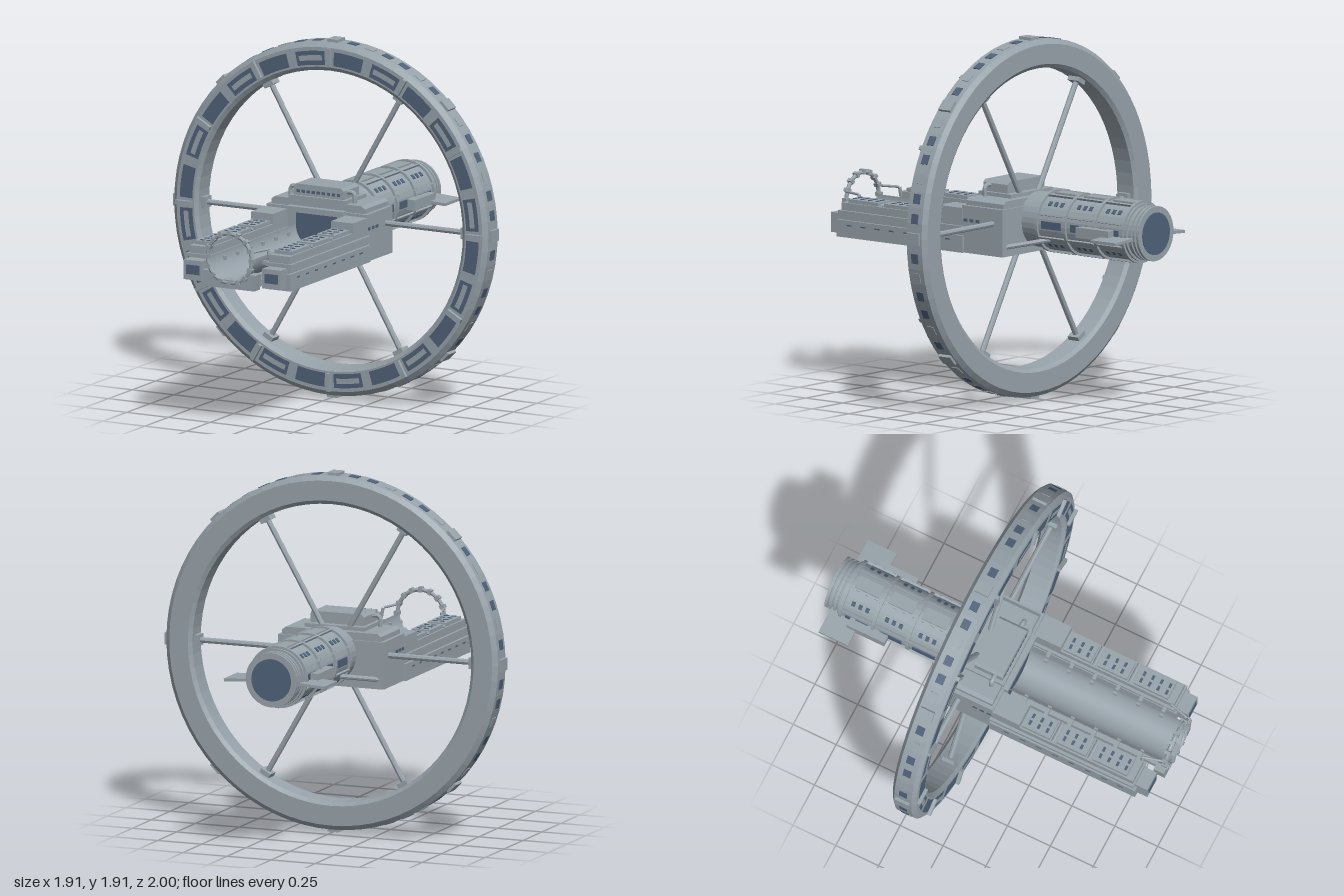
import * as THREE from 'three';

const hull = new THREE.MeshStandardMaterial({ color: 0x98a3ab, flatShading: true });
hull.name = 'hull grey';
const dark = new THREE.MeshStandardMaterial({ color: 0x50627a, flatShading: true });
dark.name = 'dark blue panel';
const trough = new THREE.MeshStandardMaterial({ color: 0x98a3ab, side: THREE.DoubleSide });
trough.name = 'trough grey';

const AXIS = 0.955; // height of the wheel and drum axis
const DEG = Math.PI / 180;

function add(parent, name, geometry, material = hull) {
  const mesh = new THREE.Mesh(geometry, material);
  mesh.name = name;
  parent.add(mesh);
  return mesh;
}

// Box given by its extents
function box(parent, name, x0, x1, y0, y1, z0, z1, material = hull) {
  const mesh = add(parent, name, new THREE.BoxGeometry(Math.abs(x1 - x0), y1 - y0, z1 - z0), material);
  mesh.position.set((x0 + x1) / 2, (y0 + y1) / 2, (z0 + z1) / 2);
  return mesh;
}

// Cylinder along z, from the back (z0) to the front (z1)
function drumPart(parent, name, r0, r1, z0, z1, y = AXIS, material = hull) {
  const g = new THREE.CylinderGeometry(r1, r0, z1 - z0, 32).rotateX(Math.PI / 2);
  const mesh = add(parent, name, g, material);
  mesh.position.set(0, y, (z0 + z1) / 2);
  return mesh;
}

// Straight rod between two points
function rod(parent, name, a, b, r) {
  const path = new THREE.LineCurve3(new THREE.Vector3(...a), new THREE.Vector3(...b));
  return add(parent, name, new THREE.TubeGeometry(path, 1, r, 8));
}

// Extruded outline with bevelled edges; outline drawn in x and y, depth along z
function prism(parent, name, points, z0, z1, material = hull) {
  const shape = new THREE.Shape(points.map(p => new THREE.Vector2(...p)));
  const mesh = add(parent, name, new THREE.ExtrudeGeometry(shape, { depth: z1 - z0, bevelEnabled: false }), material);
  mesh.position.z = z0;
  return mesh;
}

function buildWheel() {
  const wheel = new THREE.Group();
  wheel.name = 'wheel';
  wheel.position.set(0, AXIS, -0.14);
  const half = 0.07;
  const profile = [[0.79, -0.055], [0.81, -half], [0.915, -half], [0.94, -0.05], [0.94, 0.05],
    [0.915, half], [0.81, half], [0.79, 0.055], [0.79, -0.055]].map(p => new THREE.Vector2(...p));
  add(wheel, 'wheelRim', new THREE.LatheGeometry(profile, 72).rotateX(Math.PI / 2));

  // Front face panels, every second one with a light bar
  for (let i = 0; i < 24; i++) {
    const mid = (90 - 7.5 - i * 15) * DEG;
    const panel = add(wheel, 'rimPanel', new THREE.RingGeometry(0.82, 0.895, 6, 1, mid - 5.7 * DEG, 11.4 * DEG), dark);
    panel.position.z = half + 0.002;
    if (i % 2) {
      const bar = add(wheel, 'rimPanelBar', new THREE.RingGeometry(0.844, 0.872, 6, 1, mid - 4.6 * DEG, 9.2 * DEG));
      bar.position.z = half + 0.004;
    }
  }

  // Parts placed around the wheel, built along +x and turned
  const around = (name, deg) => {
    const g = new THREE.Group();
    g.name = name;
    g.rotation.z = deg * DEG;
    wheel.add(g);
    return g;
  };
  for (let i = 0; i < 12; i++) box(around('rimDivider', i * 30), 'dividerBar', 0.82, 0.915, -0.011, 0.011, 0.06, 0.088);
  for (let i = 0; i < 8; i++) box(around('rimPad', i * 45), 'pad', 0.93, 0.954, -0.032, 0.032, -0.04, 0.04);
  for (let i = 0; i < 56; i++) {
    if (i % 7 === 0) continue;
    const light = (i % 14) % 3 === 0;
    box(around('rimWindow', i * 360 / 56), light ? 'rimPlate' : 'window', 0.935, 0.943, -0.026, 0.026, -0.022, 0.022, light ? hull : dark);
  }
  for (let i = 0; i < 6; i++) {
    const g = around('spoke', i * 60);
    rod(g, 'spokeRod', [0.1, 0, 0], [0.8, 0, 0], 0.015);
    box(g, 'spokeFoot', 0.765, 0.8, -0.03, 0.03, -0.035, 0.035);
  }
  return wheel;
}

function buildDrum() {
  const drum = new THREE.Group();
  drum.name = 'rearDrum';
  drumPart(drum, 'drumNeck', 0.15, 0.145, -0.32, -0.2);
  drumPart(drum, 'drumBody', 0.152, 0.152, -0.92, -0.31);
  for (const z of [-0.32, -0.51, -0.71, -0.9]) drumPart(drum, 'drumRib', 0.165, 0.165, z - 0.008, z + 0.008);
  drumPart(drum, 'engineNeck', 0.128, 0.14, -0.99, -0.91);
  for (const z of [-0.94, -0.965, -0.99]) drumPart(drum, 'engineRing', 0.145, 0.145, z - 0.007, z + 0.007);
  drumPart(drum, 'engineDisc', 0.112, 0.112, -1, -0.98, AXIS, dark);

  // Panels and rails around the drum in each of three bays
  for (const z of [-0.415, -0.61, -0.805]) {
    for (let i = 0; i < 8; i++) {
      const g = new THREE.Group();
      g.name = 'drumPanels';
      g.position.set(0, AXIS, z);
      g.rotation.z = i * 45 * DEG;
      drum.add(g);
      if (i % 4 === 0) box(g, 'sideWindow', 0.148, 0.156, -0.02, 0.02, -0.065, 0.065, dark);
      else if (i % 2 === 0) box(g, 'drumPlate', 0.145, 0.157, -0.035, 0.035, -0.07, 0.07);
      else for (const s of [-0.04, 0, 0.04]) box(g, 'drumPort', 0.147, 0.156, -0.013, 0.013, s - 0.01, s + 0.01, dark);
      box(g, 'drumRail', 0.145, 0.157, 0.05, 0.06, -0.085, 0.085).rotation.z = 20 * DEG;
    }
  }
  // Side pods, fins and braces
  for (const s of [-1, 1]) {
    box(drum, 'sidePod', s * 0.14, s * 0.2, 0.92, 0.975, -0.84, -0.62);
    const fin = box(drum, 'fin', s * 0.13, s * 0.285, 0.925, 0.94, -0.96, -0.79);
    fin.rotation.z = s * -0.06;
    rod(drum, 'drumBrace', [s * 0.28, 0.83, -0.18], [s * 0.12, 0.875, -0.385], 0.013);
  }
  return drum;
}

function buildHub() {
  const hub = new THREE.Group();
  hub.name = 'hub';
  box(hub, 'hubBody', -0.3, 0.3, 0.785, 1.035, -0.21, 0.065);
  prism(hub, 'hubShoulder', [[-0.28, 1.03], [0.28, 1.03], [0.28, 1.06], [0.26, 1.075], [-0.26, 1.075], [-0.28, 1.06]], -0.2, 0.05);
  prism(hub, 'tower', [[-0.15, 1.07], [0.15, 1.07], [0.15, 1.14], [0.135, 1.155], [-0.135, 1.155], [-0.15, 1.14]], -0.12, 0.045);
  box(hub, 'towerStep', -0.17, 0.17, 1.07, 1.095, -0.16, 0.06);
  for (let i = -4; i <= 4; i++) box(hub, 'towerVent', i * 0.03 - 0.009, i * 0.03 + 0.009, 1.11, 1.125, 0.04, 0.048, dark);
  // Dark bay wall at the root of the trough
  box(hub, 'bayWall', -0.122, 0.122, 0.82, 1.01, 0.06, 0.069, dark);
  box(hub, 'bayLintel', -0.17, 0.17, 1.01, 1.04, 0.05, 0.085);
  for (const s of [-1, 1]) {
    const path = new THREE.CatmullRomCurve3([[0.14, 1.13], [0.18, 1.13], [0.19, 1.12], [0.19, 1.06]]
      .map(p => new THREE.Vector3(s * p[0], p[1], 0.0)));
    add(hub, 'towerPipe', new THREE.TubeGeometry(path, 12, 0.012, 8));
    for (const z of [-0.04, 0, 0.04]) box(hub, 'hubPort', s * 0.296, s * 0.303, 0.95, 0.966, z - 0.012, z + 0.012, dark);
  }
  return hub;
}

function buildArm(s) {
  const arm = new THREE.Group();
  arm.name = s > 0 ? 'leftArm' : 'rightArm';
  box(arm, 'armBase', s * 0.165, s * 0.315, 0.785, 0.875, 0.05, 0.9);
  box(arm, 'armUpper', s * 0.175, s * 0.3, 0.87, 0.965, 0.05, 0.88);
  box(arm, 'armLedge', s * 0.16, s * 0.315, 0.905, 0.925, 0.05, 0.89);
  box(arm, 'armCap', s * 0.18, s * 0.29, 0.8, 0.905, 0.88, 0.96);
  box(arm, 'capWindow', s * 0.195, s * 0.275, 0.83, 0.88, 0.955, 0.963, dark);
  box(arm, 'armRoot', s * 0.175, s * 0.305, 0.96, 1.02, 0.06, 0.22);
  // Deck blocks with rows of small dark hatches
  for (const [z0, z1] of [[0.23, 0.39], [0.43, 0.6], [0.64, 0.84]]) {
    box(arm, 'deckBlock', s * 0.185, s * 0.29, 0.96, 0.985, z0, z1);
    for (let z = z0 + 0.03; z < z1 - 0.015; z += 0.05)
      for (const x of [0.215, 0.255]) box(arm, 'deckHatch', s * (x - 0.013), s * (x + 0.013), 0.98, 0.988, z - 0.007, z + 0.007, dark);
  }
  for (const z of [0.41, 0.62]) rod(arm, 'deckPipe', [s * 0.18, 0.97, z], [s * 0.295, 0.97, z], 0.011);
  for (let i = 0; i < 8; i++) {
    const z = 0.15 + i * 0.095;
    box(arm, 'sideSlit', s * 0.31, s * 0.317, 0.846, 0.853, z - 0.016, z + 0.016, dark);
  }
  // Links to the trough, and the rod to the front ring
  for (let i = 0; i < 6; i++) box(arm, 'troughLink', s * 0.105, s * 0.18, 0.9, 0.92, 0.155 + i * 0.135, 0.175 + i * 0.135);
  rod(arm, 'ringBrace', [s * 0.165, 0.99, 0.87], [s * 0.135, 0.99, 0.98], 0.007);
  rod(arm, 'ringBracePost', [s * 0.175, 0.94, 0.87], [s * 0.165, 0.99, 0.87], 0.009);
  return arm;
}

function buildTrough() {
  const bay = new THREE.Group();
  bay.name = 'bay';
  // Half-pipe floor, open at the top
  const pipe = new THREE.CylinderGeometry(0.122, 0.122, 0.91, 24, 1, true, -Math.PI / 2, Math.PI);
  const floor = add(bay, 'troughFloor', pipe.rotateX(Math.PI / 2), trough);
  floor.position.set(0, 0.945, 0.525);
  box(bay, 'keel', -0.115, 0.115, 0.785, 0.82, 0.06, 0.985);
  prism(bay, 'frontSill', [[-0.15, 0.785], [0.15, 0.785], [0.16, 0.87], [0.115, 0.87], [0.08, 0.83], [-0.08, 0.83], [-0.115, 0.87], [-0.16, 0.87]], 0.93, 0.99);
  // Docking ring with clamps
  const ring = add(bay, 'frontRing', new THREE.TorusGeometry(0.132, 0.011, 8, 40));
  ring.position.set(0, 0.945, 0.985);
  for (let i = 0; i < 16; i++) {
    const g = new THREE.Group();
    g.name = 'ringClamp';
    g.position.set(0, 0.945, 0.985);
    g.rotation.z = i * Math.PI / 8;
    box(g, 'clamp', 0.12, 0.148, -0.01, 0.01, -0.015, 0.015);
    bay.add(g);
  }
  return bay;
}

export function createModel() {
  const model = new THREE.Group();
  model.name = 'spaceStation';
  model.add(buildWheel(), buildDrum(), buildHub(), buildTrough(), buildArm(1), buildArm(-1));
  return model;
}
